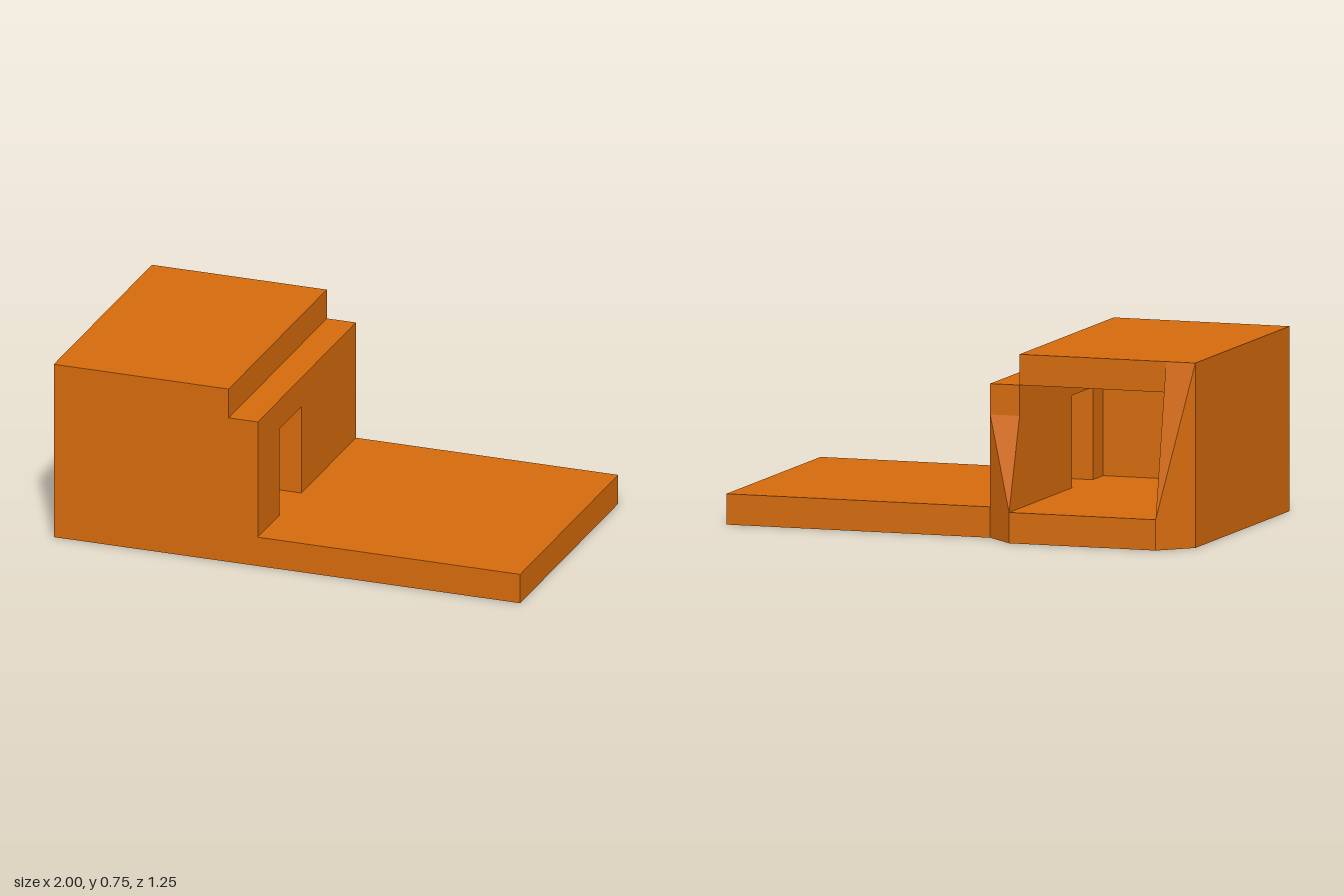
import * as THREE from 'three';
import { ConvexGeometry } from 'three/addons/geometries/ConvexGeometry.js';

export function createModel() {
  const model = new THREE.Group();
  model.name = 'hollowBlockHouse';
  const orange = new THREE.MeshStandardMaterial({ color: 0xd46a0c });
  orange.name = 'orange';

  const T = 0.125; // thickness of slab, walls and roof

  function add(name, geometry) {
    const mesh = new THREE.Mesh(geometry, orange);
    mesh.name = name;
    model.add(mesh);
  }

  // Box given by its lower and upper corners
  function box(name, [x0, y0, z0], [x1, y1, z1]) {
    const g = new THREE.BoxGeometry(x1 - x0, y1 - y0, z1 - z0);
    g.translate((x0 + x1) / 2, (y0 + y1) / 2, (z0 + z1) / 2);
    add(name, g);
  }

  const shapeOf = (pts) => new THREE.Shape(pts.map(([x, y]) => new THREE.Vector2(x, y)));
  const extrude = (shape) => new THREE.ExtrudeGeometry(shape, { depth: T, bevelEnabled: false });

  // Floor slab with a chamfered tab at the back (plan drawn as x, -z)
  const floor = extrude(shapeOf([
    [-1, -0.625], [1, -0.625], [1, 0.5], [-0.125, 0.5],
    [-0.25, 0.625], [-0.875, 0.625], [-1, 0.5],
  ]));
  floor.rotateX(-Math.PI / 2);
  add('floorSlab', floor);

  // Closed outer wall, front wall and roof; the back stays open
  box('outerWall', [-1, T, -0.5], [-0.875, 0.625, 0.625]);
  box('frontWall', [-0.875, T, 0.5], [-0.25, 0.625, 0.625]);
  box('roof', [-1, 0.625, -0.5], [-0.25, 0.75, 0.625]);

  // Lower inner wall with a doorway (profile drawn as -z, y)
  const doorWall = extrude(shapeOf([
    [-0.625, T], [-0.375, T], [-0.375, 0.5], [-0.125, 0.5],
    [-0.125, T], [0.5, T], [0.5, 0.625], [-0.625, 0.625],
  ]));
  doorWall.rotateY(Math.PI / 2);
  doorWall.translate(-0.25, 0, 0);
  add('doorWall', doorWall);

  // Tapered buttresses flanking the rear opening
  function buttress(name, outer, inner, top) {
    add(name, new ConvexGeometry([
      new THREE.Vector3(outer, T, -0.5),
      new THREE.Vector3(inner, T, -0.5),
      new THREE.Vector3(inner, T, -0.625),
      new THREE.Vector3(outer, top, -0.5),
      new THREE.Vector3(inner, top, -0.5),
    ]));
  }
  buttress('outerButtress', -1, -0.875, 0.75);
  buttress('doorSideButtress', -0.125, -0.25, 0.5);

  return model;
}
